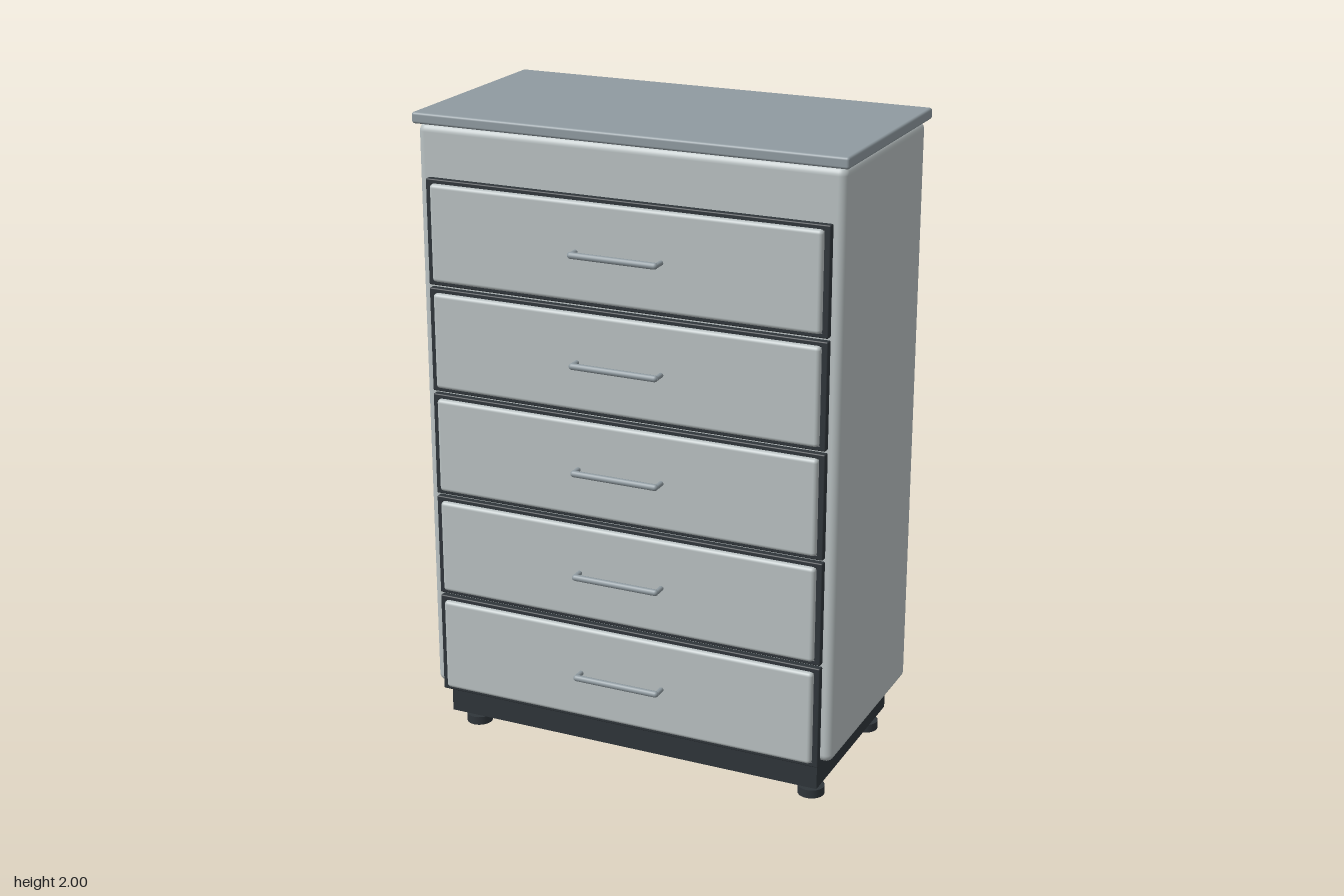
import * as THREE from 'three';
import { RoundedBoxGeometry } from 'three/addons/geometries/RoundedBoxGeometry.js';

function material(name, color) {
  const m = new THREE.MeshStandardMaterial({ color });
  m.name = name;
  return m;
}

export function createModel() {
  const group = new THREE.Group();
  group.name = 'drawerCabinet';
  const paint = material('pale grey paint', 0xb9c1c2);
  const steel = material('blue grey steel', 0x8f9aa0);
  const dark = material('dark rubber', 0x2f353a);

  const add = (parent, name, geometry, mat, x = 0, y = 0, z = 0) => {
    const mesh = new THREE.Mesh(geometry, mat);
    mesh.name = name;
    mesh.position.set(x, y, z);
    parent.add(mesh);
    return mesh;
  };
  // Box given by its limits, with optional rounded edges
  const box = (parent, name, mat, [x0, x1], [y0, y1], [z0, z1], r = 0) => {
    const size = [x1 - x0, y1 - y0, z1 - z0];
    const g = r ? new RoundedBoxGeometry(...size, 4, r) : new THREE.BoxGeometry(...size);
    return add(parent, name, g, mat, (x0 + x1) / 2, (y0 + y1) / 2, (z0 + z1) / 2);
  };

  // Carcass, worktop and plinth
  box(group, 'body', paint, [-0.67, 0.67], [0.16, 1.967], [-0.365, 0.295], 0.025);
  box(group, 'top', steel, [-0.68, 0.68], [1.966, 2], [-0.388, 0.308], 0.008);
  box(group, 'plinth', dark, [-0.622, 0.622], [0.063, 0.175], [-0.312, 0.284]);

  // Five drawers, each with a dark gasket frame and a bar handle
  const barGeometry = new THREE.CapsuleGeometry(0.01, 0.264, 6, 16).rotateZ(Math.PI / 2);
  const postGeometry = new THREE.CylinderGeometry(0.0075, 0.0075, 0.037, 16).rotateX(Math.PI / 2);
  for (let i = 0; i < 5; i++) {
    const drawer = new THREE.Group();
    drawer.name = 'drawer' + (i + 1);
    drawer.position.y = 0.313 + i * 0.3335;
    group.add(drawer);

    box(drawer, 'drawerFront', paint, [-0.617, 0.617], [-0.149, 0.149], [0.285, 0.33], 0.012);
    for (const s of [-1, 1]) {
      const rail = add(drawer, 'frameRail', new RoundedBoxGeometry(1.27, 0.017, 0.026, 2, 0.004), dark, 0, s * 0.1535, 0.302);
      rail.name = s > 0 ? 'frameRailUpper' : 'frameRailLower';
      add(drawer, s > 0 ? 'frameSideLeft' : 'frameSideRight',
        new RoundedBoxGeometry(0.02, 0.324, 0.026, 2, 0.004), dark, s * 0.625, 0, 0.302);
      add(drawer, s > 0 ? 'handlePostLeft' : 'handlePostRight', postGeometry, steel, s * 0.135, 0.002, 0.3535);
    }
    add(drawer, 'handleBar', barGeometry, steel, 0, 0.002, 0.372);
  }

  // Levelling feet: steel stem on a dark pad
  const stemGeometry = new THREE.CylinderGeometry(0.022, 0.022, 0.05, 24);
  const padGeometry = new THREE.CylinderGeometry(0.041, 0.041, 0.027, 32);
  for (const x of [-0.573, 0.573]) {
    for (const z of [-0.27, 0.2]) {
      const foot = new THREE.Group();
      foot.name = (z > 0 ? 'front' : 'back') + (x > 0 ? 'Left' : 'Right') + 'Foot';
      foot.position.set(x, 0, z);
      group.add(foot);
      add(foot, 'footStem', stemGeometry, steel, 0, 0.045, 0);
      add(foot, 'footPad', padGeometry, dark, 0, 0.0135, 0);
    }
  }
  return group;
}
